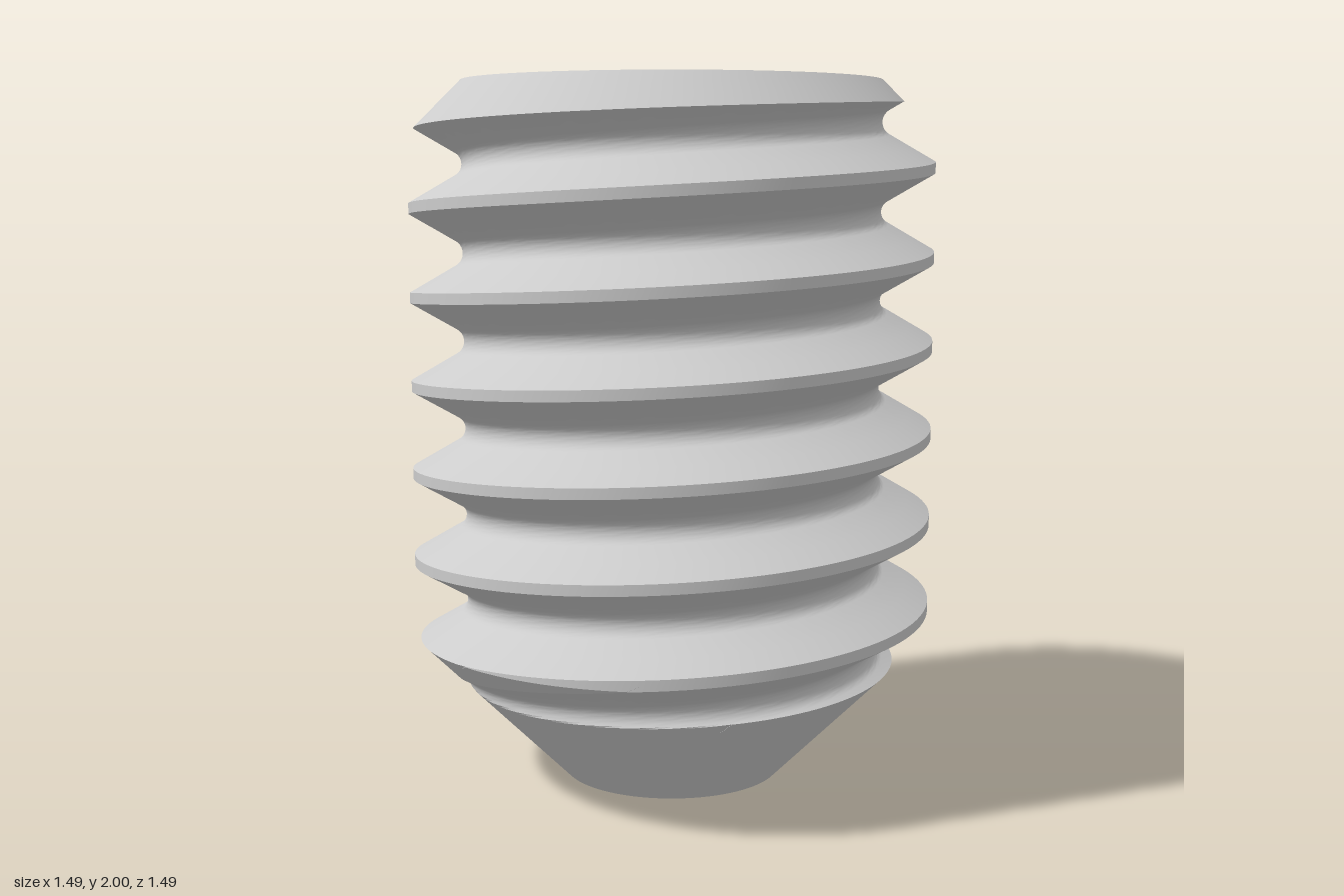
import * as THREE from 'three';
import { toCreasedNormals } from 'three/addons/utils/BufferGeometryUtils.js';

const SEGMENTS = 120;
const HEIGHT = 2, PITCH = 0.25, CREST = 0.745, ROOT = 0.595, FILLET = 0.04;
const TIP = 0.315, CUP_DEPTH = 0.18;
const SOCKET_RIM = 0.44, HEX_FLAT = 0.38, SOCKET_FLOOR = 1.12;

// Skin a surface around y from column(angle) -> [[radius, y], ...]; columns run so that the outside is on the right
function skin(name, column, creaseDegrees) {
  const columns = [];
  for (let i = 0; i <= SEGMENTS; i++) {
    const a = (i / SEGMENTS) * Math.PI * 2;
    columns.push(column(a).map(([r, y]) => new THREE.Vector3(r * Math.cos(a), y, -r * Math.sin(a))));
  }
  const positions = [];
  const triangle = new THREE.Triangle();
  const add = (a, b, c) => {
    if (triangle.set(a, b, c).getArea() < 1e-8) return;
    for (const p of [a, b, c]) positions.push(p.x, p.y, p.z);
  };
  for (let i = 0; i < SEGMENTS; i++) {
    const p = columns[i], q = columns[i + 1];
    for (let j = 0; j < p.length - 1; j++) {
      add(p[j], q[j], q[j + 1]);
      add(p[j], q[j + 1], p[j + 1]);
    }
  }
  const geometry = new THREE.BufferGeometry();
  geometry.setAttribute('position', new THREE.Float32BufferAttribute(positions, 3));
  const material = new THREE.MeshStandardMaterial({ color: 0xcccccc });
  const mesh = new THREE.Mesh(toCreasedNormals(geometry, THREE.MathUtils.degToRad(creaseDegrees)), material);
  mesh.name = name;
  return mesh;
}

// One pitch of thread: flat crest, 60 degree flanks, rounded root
const threadProfile = [[CREST, -0.015], [CREST, 0.015]];
for (let i = 0; i <= 14; i++) {
  const t = (i / 14 - 0.5) * Math.PI * 2 / 3;
  threadProfile.push([ROOT + FILLET * (1 - Math.cos(t)), PITCH / 2 + FILLET * Math.sin(t)]);
}

// The thread is trimmed by the point cone below and the 45 degree chamfer above
const limit = (y) => Math.min(TIP + y, ROOT + HEIGHT - y);
function trim([r, y]) {
  const h = THREE.MathUtils.clamp(y, 0, HEIGHT);
  return [Math.min(r, limit(h)), h];
}

function threadColumn(a) {
  const points = [];
  for (let turn = -3; turn <= 7; turn++) {
    const y0 = 0.5025 + PITCH * (turn + a / (Math.PI * 2));
    for (const [r, y] of threadProfile) points.push([r, y0 + y]);
  }
  const column = [];
  points.forEach((p, i) => {
    column.push(trim(p));
    const q = points[i + 1];
    if (!q || q[1] - p[1] < 0.02) return;
    // Extra point on crest and flanks, placed where they meet a cone
    const f = p[0] - limit(p[1]), g = q[0] - limit(q[1]);
    const t = f * g < 0 ? f / (f - g) : 0.5;
    column.push(trim([p[0] + (q[0] - p[0]) * t, p[1] + (q[1] - p[1]) * t]));
  });
  return [[TIP, 0], ...column, [ROOT, HEIGHT]];
}

// Top face, countersink, hexagonal walls and floor
function socketColumn(a) {
  const sector = Math.PI / 3;
  const r = HEX_FLAT / Math.cos((a % sector) - sector / 2);
  return [
    [ROOT, HEIGHT], [SOCKET_RIM, HEIGHT],
    [r, HEIGHT - (SOCKET_RIM - r)],
    [r, SOCKET_FLOOR], [0, SOCKET_FLOOR],
  ];
}

export function createModel() {
  const group = new THREE.Group();
  group.name = 'setScrew';
  group.add(
    skin('threadedBody', threadColumn, 12),
    skin('hexSocket', socketColumn, 25),
    skin('cupPoint', () => [[0, CUP_DEPTH], [TIP, 0]], 25),
  );
  return group;
}
